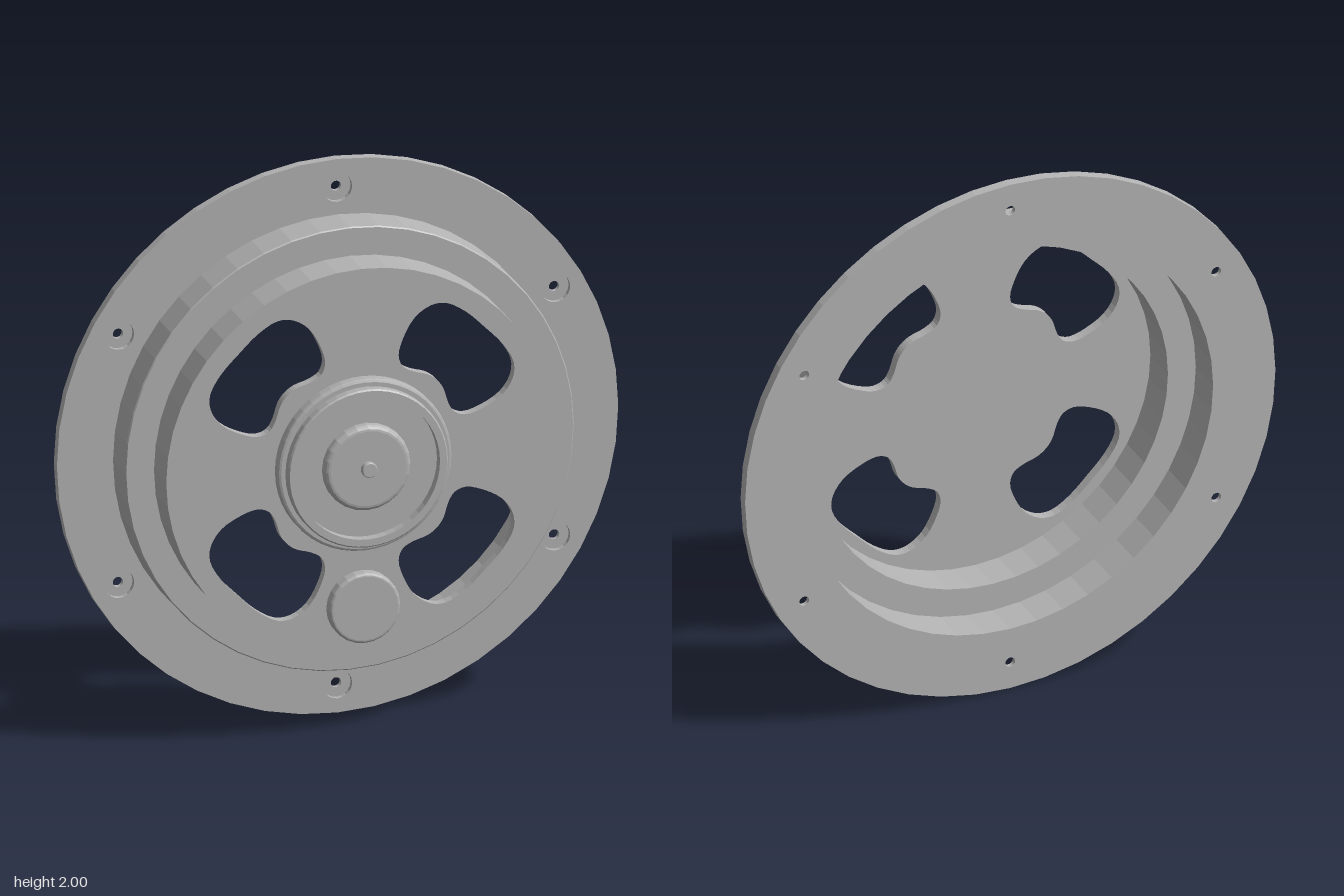
import * as THREE from 'three';

const SEGMENTS = 48;

// Closed circle outline, used for outer shapes and holes
function circle(radius, x = 0, y = 0, n = SEGMENTS) {
  return Array.from({ length: n }, (_, i) => {
    const a = (i / n) * Math.PI * 2;
    return new THREE.Vector2(x + radius * Math.cos(a), y + radius * Math.sin(a));
  });
}

// Flat plate from z0 to z1 with holes cut through
function plate(radius, z0, z1, holes) {
  const shape = new THREE.Shape(circle(radius));
  holes.forEach((h) => shape.holes.push(new THREE.Path(h)));
  const geometry = new THREE.ExtrudeGeometry(shape, { depth: z1 - z0, bevelEnabled: false });
  return geometry.translate(0, 0, z0);
}

// Faceted turned part about the z axis; the profile is [radius, z]
function turned(profile, n = SEGMENTS) {
  const points = profile.map(([r, z]) => new THREE.Vector2(r, z));
  const geometry = new THREE.LatheGeometry(points, n).rotateX(Math.PI / 2).toNonIndexed();
  geometry.computeVertexNormals();
  return geometry;
}

// Disc with a rounded front rim
function button(radius, z0, z1, round) {
  const profile = [[radius, z0]];
  for (let i = 0; i <= 4; i++) {
    const a = (i / 4) * Math.PI / 2;
    profile.push([radius - round + round * Math.cos(a), z1 - round + round * Math.sin(a)]);
  }
  profile.push([0, z1]);
  return turned(profile, 24);
}

// Kidney-shaped window, symmetric about the diagonal, mirrored by sx and sy
function kidney(sx, sy) {
  const half = [[0.438, 0.438], [0.37, 0.502], [0.3, 0.541], [0.245, 0.538], [0.188, 0.5], [0.147, 0.43],
    [0.131, 0.37], [0.145, 0.33], [0.18, 0.308], [0.235, 0.29], [0.267, 0.267]];
  const other = half.slice(1, -1).reverse().map(([x, y]) => [y, x]);
  const points = [...half, ...other].map(([x, y]) => new THREE.Vector3(x * sx, y * sy, 0));
  const curve = new THREE.CatmullRomCurve3(points, true);
  return curve.getPoints(60).slice(0, -1).map((p) => new THREE.Vector2(p.x, p.y));
}

export function createModel() {
  const model = new THREE.Group();
  const metal = new THREE.MeshStandardMaterial({ color: 0xb4b4b4 });
  metal.name = 'grey metal';

  const add = (name, geometry, y = 0) => {
    const mesh = new THREE.Mesh(geometry, metal);
    mesh.name = name;
    mesh.position.y = 1 + y;
    model.add(mesh);
  };

  // Mounting flange in two layers: narrow screw holes behind wide counterbores
  const boltHoles = (radius) => Array.from({ length: 6 }, (_, i) => {
    const a = Math.PI / 6 + (i * Math.PI) / 3;
    return circle(radius, 0.897 * Math.cos(a), 0.897 * Math.sin(a), 20);
  });
  add('flangeBack', plate(1, -0.2, -0.183, [circle(0.765), ...boltHoles(0.018)]));
  add('flangeFront', plate(1, -0.183, -0.165, [circle(0.765), ...boltHoles(0.052)]));

  // Hollow stepped housing wall
  add('steppedWall', turned([
    [0.8, -0.165], [0.8, -0.034], [0.796, -0.03], [0.697, -0.03], [0.697, 0.072],
    [0.66, 0.072], [0.66, -0.065], [0.765, -0.065], [0.765, -0.165],
  ]));

  // Front face with four windows
  const windows = [[1, 1], [-1, 1], [-1, -1], [1, -1]].map(([sx, sy]) => kidney(sx, sy));
  add('frontFace', plate(0.697, 0.072, 0.107, windows));

  // Central hub: rounded base step, raised rim and recessed floor
  add('hub', turned([
    [0.31, 0.107], [0.31, 0.136], [0.307, 0.143], [0.3, 0.146], [0.285, 0.146],
    [0.285, 0.175], [0.28, 0.18], [0.255, 0.18], [0.255, 0.146], [0, 0.146],
  ]));
  add('hubKnob', button(0.155, 0.146, 0.18, 0.02));
  add('hubPin', button(0.027, 0.18, 0.2, 0.004));

  // Round button below the hub
  add('lowerButton', button(0.127, 0.107, 0.147, 0.012), -0.517);

  return model;
}
